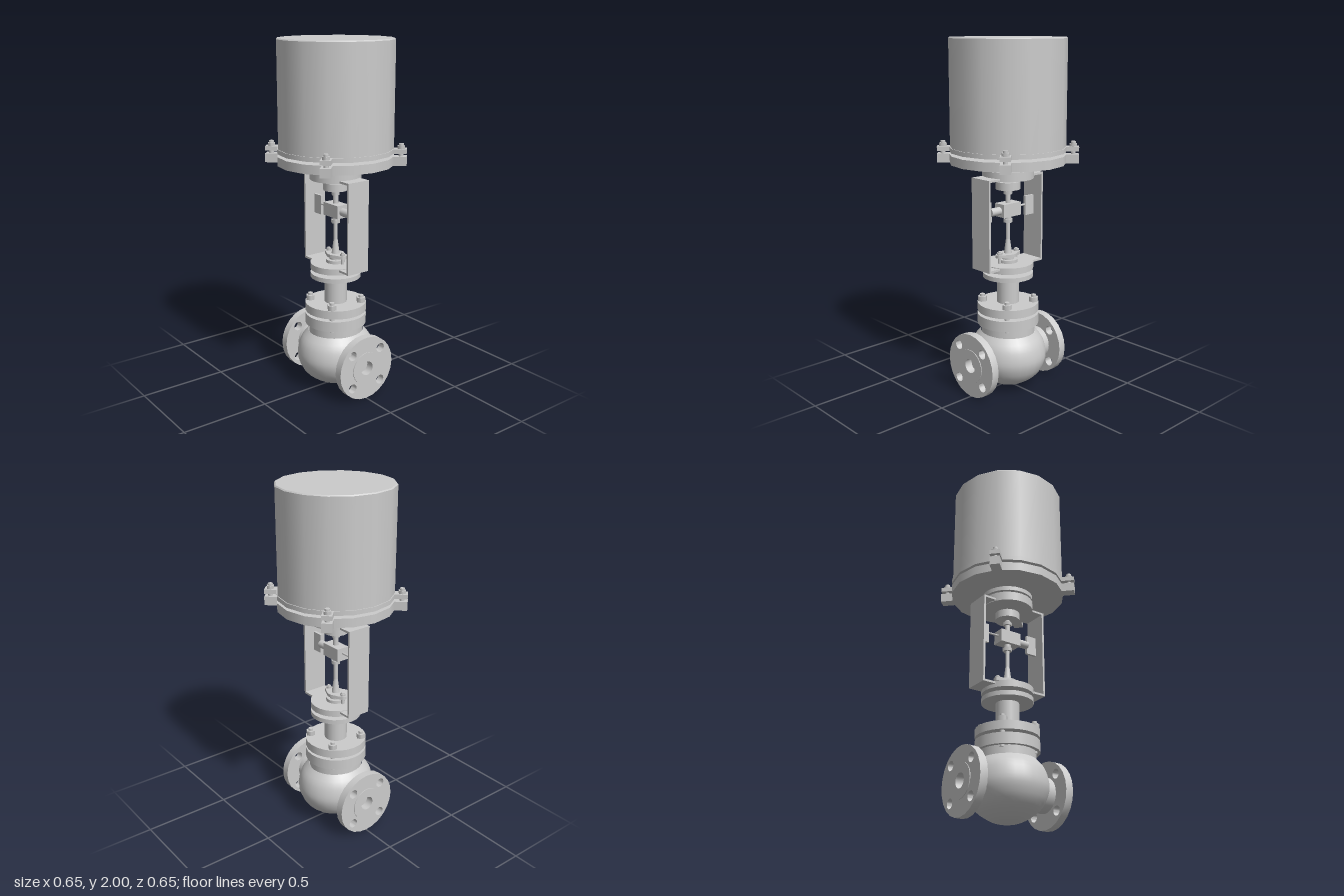
import * as THREE from 'three';
import { toCreasedNormals } from 'three/addons/utils/BufferGeometryUtils.js';

const grey = new THREE.MeshStandardMaterial({ color: 0xcccccc });

function add(parent, name, geometry, x = 0, y = 0, z = 0) {
  const mesh = new THREE.Mesh(geometry, grey);
  mesh.name = name;
  mesh.position.set(x, y, z);
  parent.add(mesh);
  return mesh;
}

// Upright round part between two heights; r2 is the top radius
function disc(parent, name, r, y0, y1, x = 0, z = 0, sides = 20, r2 = r) {
  return add(parent, name, new THREE.CylinderGeometry(r2, r, y1 - y0, sides), x, (y0 + y1) / 2, z);
}

// Round part lying along x
function rodX(parent, name, r, x0, x1, y, sides = 20) {
  const geometry = new THREE.CylinderGeometry(r, r, x1 - x0, sides).rotateZ(-Math.PI / 2);
  return add(parent, name, geometry, (x0 + x1) / 2, y);
}

function circleHole(shape, x, y, r) {
  const hole = new THREE.Path();
  hole.absarc(x, y, r, 0, Math.PI * 2, true);
  shape.holes.push(hole);
}

function extrude(shape, depth) {
  return toCreasedNormals(
    new THREE.ExtrudeGeometry(shape, { depth, bevelEnabled: false, curveSegments: 12 }), 0.6);
}

// The four diagonal positions at a given radius
function diagonals(radius, place) {
  for (let i = 0; i < 4; i++) {
    const a = Math.PI / 4 + i * Math.PI / 2;
    place(Math.cos(a) * radius, Math.sin(a) * radius, a);
  }
}

function buildBody(root) {
  const body = new THREE.Group();
  body.name = 'valveBody';
  root.add(body);

  // Globe
  const profile = new THREE.SplineCurve([
    [0, 0.008], [0.06, 0.012], [0.12, 0.04], [0.18, 0.09], [0.212, 0.16],
    [0.214, 0.22], [0.195, 0.285], [0.155, 0.335],
  ].map(([r, y]) => new THREE.Vector2(r, y))).getPoints(20);
  profile[0].x = 0;
  const globe = add(body, 'globe', new THREE.LatheGeometry(profile, 28));
  globe.scale.z = 1.05;

  // Pipe ends with drilled flanges
  for (const side of [-1, 1]) {
    const end = new THREE.Group();
    end.name = side > 0 ? 'leftPipeEnd' : 'rightPipeEnd';
    end.rotation.y = side > 0 ? 0 : Math.PI;
    body.add(end);
    rodX(end, 'pipeNeck', 0.098, 0.12, 0.246, 0.188, 24);

    const flange = new THREE.Shape();
    flange.absarc(0, 0, 0.186, 0, Math.PI * 2);
    diagonals(0.14, (u, v) => circleHole(flange, u, v, 0.027));
    circleHole(flange, 0, 0, 0.041);
    add(end, 'pipeFlange', extrude(flange, 0.045).rotateY(Math.PI / 2), 0.244, 0.188);

    const face = new THREE.Shape();
    face.absarc(0, 0, 0.096, 0, Math.PI * 2);
    circleHole(face, 0, 0, 0.041);
    add(end, 'raisedFace', extrude(face, 0.004).rotateY(Math.PI / 2), 0.289, 0.188);
  }

  // Bonnet joint
  disc(body, 'bodyNeck', 0.155, 0.325, 0.382, 0, 0, 24);
  disc(body, 'bodyFlange', 0.177, 0.382, 0.443, 0, 0, 24);
  disc(body, 'gasket', 0.125, 0.443, 0.46, 0, 0, 24);
  disc(body, 'bonnetFlange', 0.177, 0.46, 0.508, 0, 0, 24);
  diagonals(0.148, (x, z) => {
    disc(body, 'bonnetStud', 0.014, 0.37, 0.55, x, z, 12);
    disc(body, 'bonnetNut', 0.027, 0.508, 0.536, x, z, 6);
  });
  disc(body, 'bonnetColumn', 0.065, 0.508, 0.662);
  disc(body, 'columnFlange', 0.145, 0.662, 0.688, 0, 0, 24);
  disc(body, 'columnCollar', 0.082, 0.688, 0.71);
}

function buildYoke(root) {
  const yoke = new THREE.Group();
  yoke.name = 'yoke';
  root.add(yoke);

  // Rectangular strap frame between two round flanges
  const strap = new THREE.Shape([
    [-0.206, 0.73], [0.206, 0.73], [0.206, 1.25], [-0.206, 1.25],
  ].map(p => new THREE.Vector2(...p)));
  strap.holes.push(new THREE.Path([
    [-0.194, 0.742], [-0.194, 1.238], [0.194, 1.238], [0.194, 0.742],
  ].map(p => new THREE.Vector2(...p))));
  add(yoke, 'yokeFrame', extrude(strap, 0.142), 0, 0, -0.071);
  disc(yoke, 'lowerYokeFlange', 0.145, 0.71, 0.746, 0, 0, 24);
  disc(yoke, 'upperYokeFlange', 0.145, 1.234, 1.284, 0, 0, 24);
  disc(yoke, 'yokeCollar', 0.08, 1.284, 1.296);
  disc(yoke, 'mountingFlange', 0.145, 1.296, 1.322, 0, 0, 24);

  // Packing gland: oval plate held by two studs
  disc(yoke, 'packingCollar', 0.055, 0.746, 0.764);
  disc(yoke, 'packingSleeve', 0.035, 0.764, 0.782);
  const plate = new THREE.Shape();
  plate.absarc(0.065, 0, 0.022, -1.1, 1.1);
  plate.absarc(0, 0, 0.05, 1.1, Math.PI - 1.1);
  plate.absarc(-0.065, 0, 0.022, Math.PI - 1.1, Math.PI + 1.1);
  plate.absarc(0, 0, 0.05, Math.PI + 1.1, 2 * Math.PI - 1.1);
  add(yoke, 'glandPlate', extrude(plate, 0.018).rotateX(-Math.PI / 2), 0, 0.78);
  for (const x of [-0.065, 0.065]) {
    disc(yoke, 'glandStud', 0.009, 0.746, 0.816, x, 0, 10);
    disc(yoke, 'glandNut', 0.016, 0.798, 0.81, x, 0, 6);
  }
}

function buildStem(root) {
  const stem = new THREE.Group();
  stem.name = 'stem';
  root.add(stem);
  disc(stem, 'stemTaper', 0.023, 0.798, 0.88, 0, 0, 16, 0.012);
  disc(stem, 'lowerStem', 0.012, 0.87, 1.02, 0, 0, 16);
  disc(stem, 'lockNut', 0.027, 0.978, 0.998, 0, 0, 6);
  disc(stem, 'lowerCollar', 0.019, 0.998, 1.022, 0, 0, 16);
  disc(stem, 'upperStem', 0.015, 1.085, 1.175, 0, 0, 16);
  disc(stem, 'upperNut', 0.025, 1.14, 1.16, 0, 0, 6);
  disc(stem, 'guideBushing', 0.07, 1.17, 1.214);
  disc(stem, 'guideNeck', 0.033, 1.214, 1.236);

  // Stem clamp with travel indicator plates
  add(stem, 'clampBlock', new THREE.BoxGeometry(0.13, 0.075, 0.075), 0, 1.054);
  rodX(stem, 'indicatorPin', 0.006, -0.135, -0.06, 1.06, 10);
  rodX(stem, 'indicatorArm', 0.023, 0.06, 0.135, 1.052, 16);
  for (const x of [-0.163, 0.163]) {
    add(stem, 'travelPlate', new THREE.BoxGeometry(0.066, 0.112, 0.016), x, 1.054);
  }
}

function buildActuator(root) {
  const actuator = new THREE.Group();
  actuator.name = 'actuator';
  root.add(actuator);
  disc(actuator, 'lowerCoverPlate', 0.327, 1.32, 1.37, 0, 0, 16);
  disc(actuator, 'diaphragmSpacer', 0.08, 1.37, 1.386);
  disc(actuator, 'housingRim', 0.327, 1.386, 1.411, 0, 0, 16);
  disc(actuator, 'housing', 0.322, 1.411, 1.994, 0, 0, 16);
  disc(actuator, 'housingTop', 0.322, 1.994, 2, 0, 0, 16, 0.316);

  // Bolted corner lugs
  diagonals(0.361, (x, z, a) => {
    for (const [y0, y1] of [[1.32, 1.37], [1.386, 1.411]]) {
      const lug = add(actuator, 'lug', new THREE.BoxGeometry(0.112, y1 - y0, 0.057),
        Math.cos(a) * 0.336, (y0 + y1) / 2, Math.sin(a) * 0.336);
      lug.rotation.y = -a;
    }
    disc(actuator, 'lugBolt', 0.014, 1.365, 1.44, x, z, 12);
    disc(actuator, 'lugNut', 0.022, 1.411, 1.428, x, z, 6);
  });
}

export function createModel() {
  const root = new THREE.Group();
  root.name = 'controlValve';
  buildBody(root);
  buildYoke(root);
  buildStem(root);
  buildActuator(root);
  return root;
}
